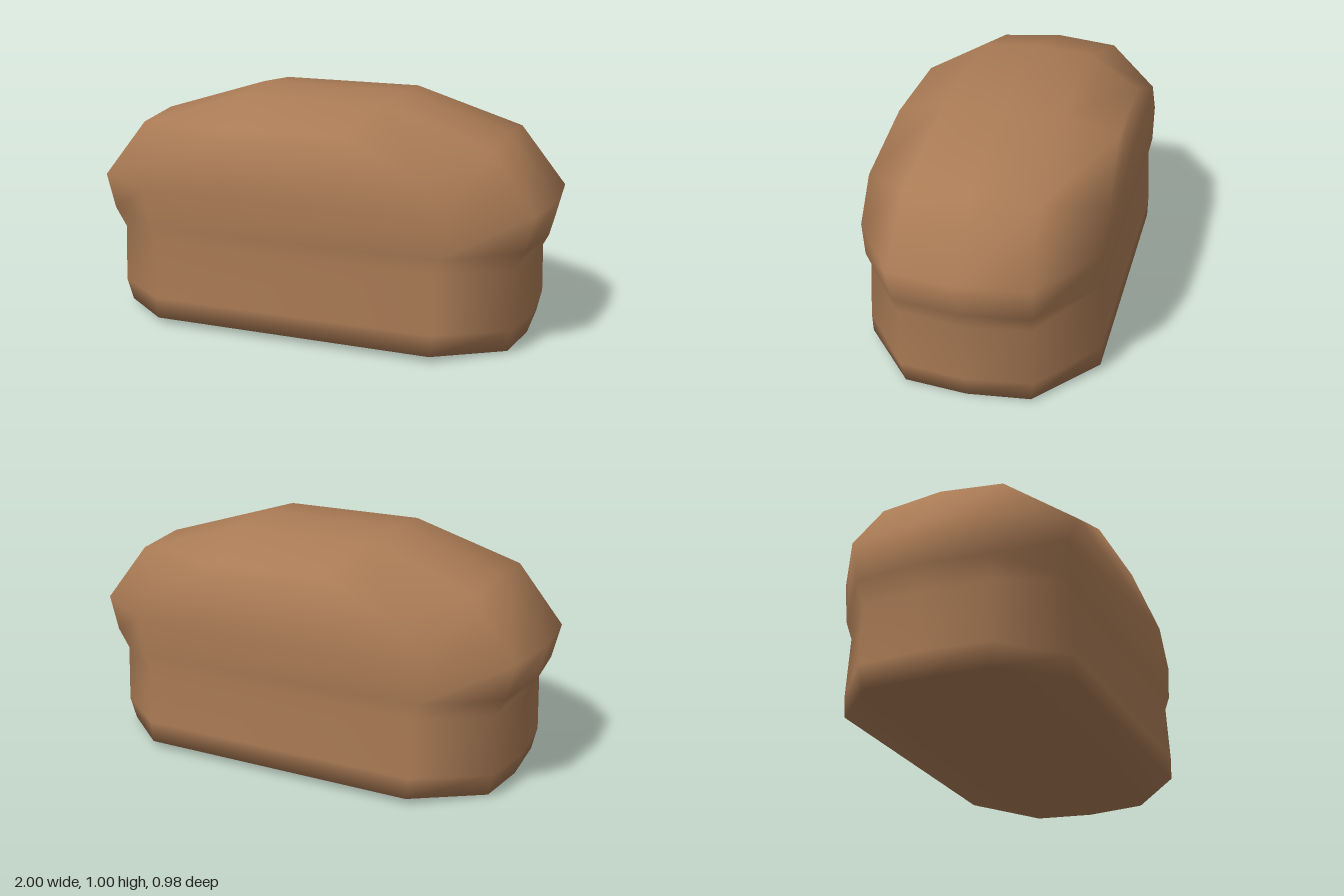
import * as THREE from 'three';

// Each ring is a ten-sided outline given by three corners [x, y, z]:
// end point, shoulder corner and side corner, mirrored in x and z.
const RINGS = [
  [[0.89, 0.003, 0], [0.87, 0.01, 0.26], [0.61, 0.03, 0.49]], // base
  [[0.92, 0.10, 0], [0.89, 0.105, 0.275], [0.62, 0.12, 0.49]], // lower edge
  [[0.918, 0.35, 0], [0.885, 0.355, 0.27], [0.615, 0.37, 0.478]], // waist
  [[0.965, 0.44, 0], [0.93, 0.44, 0.28], [0.64, 0.435, 0.49]], // crust overhang
  [[1.0, 0.59, 0], [0.967, 0.59, 0.285], [0.665, 0.59, 0.49]], // widest line
  [[0.79, 0.857, 0], [0.775, 0.838, 0.265], [0.545, 0.753, 0.49]], // crown shoulder
  [[0.32, 1.003, 0], [0.31, 0.986, 0.24], [0.22, 0.885, 0.466]], // crown top
];

function outline([a, b, c]) {
  const m = ([x, y, z], sx, sz) => [x * sx, y, z * sz];
  return [
    a, b, c, m(c, -1, 1), m(b, -1, 1),
    m(a, -1, 1), m(b, -1, -1), m(c, -1, -1), m(c, 1, -1), m(b, 1, -1),
  ];
}

function loafGeometry() {
  const sides = 10;
  const positions = RINGS.flatMap(outline).flat();
  const index = [];
  const quad = (a, b, c, d) => index.push(a, b, c, a, c, d);

  // walls between neighbouring rings
  for (let r = 0; r < RINGS.length - 1; r++) {
    for (let i = 0; i < sides; i++) {
      const low = r * sides, up = low + sides, j = (i + 1) % sides;
      quad(low + j, low + i, up + i, up + j);
    }
  }

  // base and crown closed by lengthwise strips
  const top = (RINGS.length - 1) * sides;
  for (const [a, b, c, d] of [[2, 1, 4, 3], [1, 0, 5, 4], [0, 9, 6, 5], [9, 8, 7, 6]]) {
    quad(top + a, top + b, top + c, top + d);
    quad(d, c, b, a);
  }

  const geometry = new THREE.BufferGeometry();
  geometry.setAttribute('position', new THREE.Float32BufferAttribute(positions, 3));
  geometry.setIndex(index);
  geometry.computeVertexNormals();
  return geometry;
}

export function createModel() {
  const crust = new THREE.MeshStandardMaterial({ color: 0xaa7b55 });
  crust.name = 'crust brown';

  const loaf = new THREE.Mesh(loafGeometry(), crust);
  loaf.name = 'loaf';

  const model = new THREE.Group();
  model.name = 'breadLoaf';
  model.add(loaf);
  return model;
}
